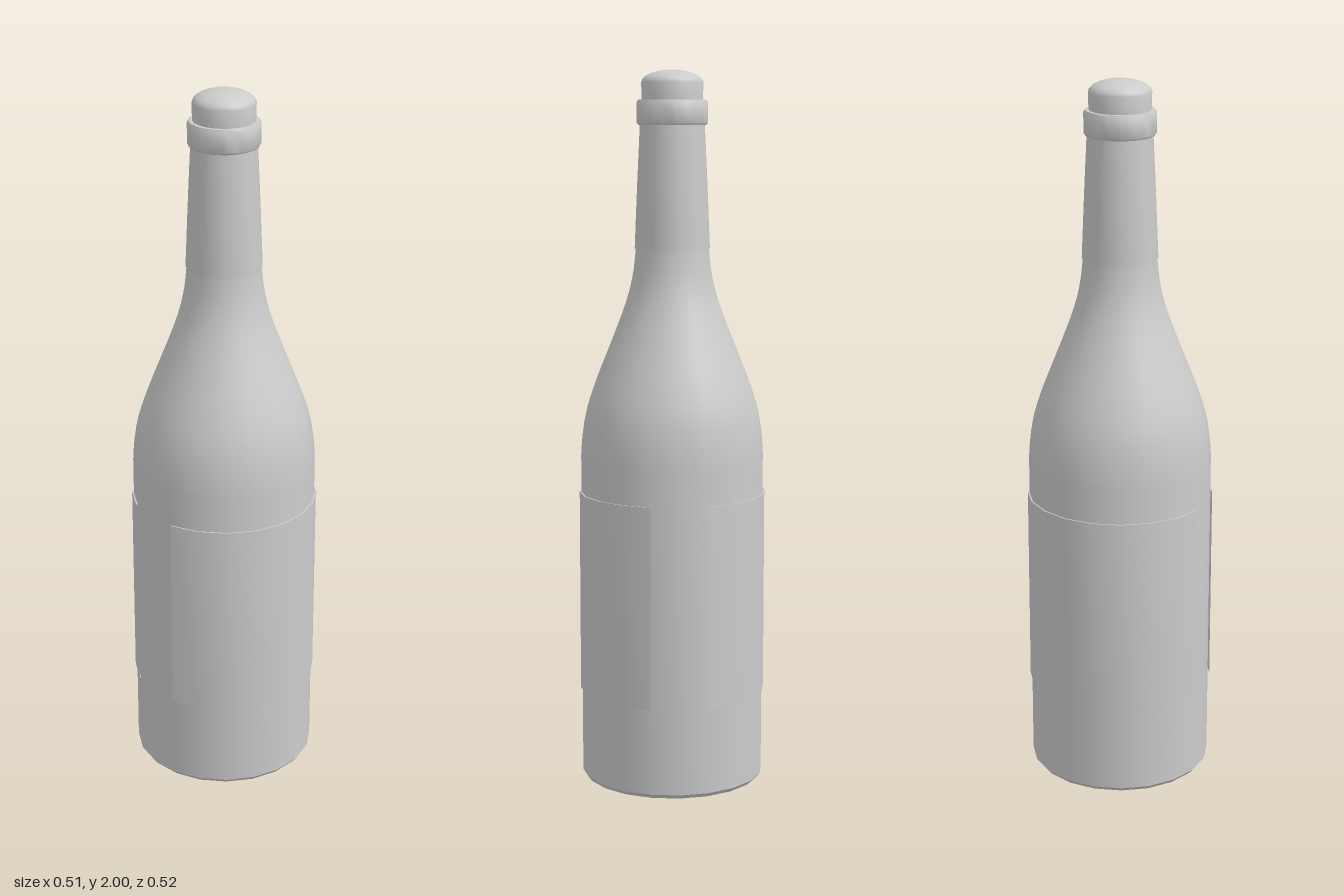
import * as THREE from 'three';
import { toCreasedNormals } from 'three/addons/utils/BufferGeometryUtils.js';

const SIDES = 20;
const STEP = (Math.PI * 2) / SIDES;
const TURN = THREE.MathUtils.degToRad(11.5); // angle of the first facet corner

export function createModel() {
  const group = new THREE.Group();
  const material = new THREE.MeshStandardMaterial({ color: 0xcccccc, side: THREE.DoubleSide });

  // Turned part: profile of [radius, height], over a whole number of facets
  const turn = (name, profile, start = 0, count = SIDES) => {
    const points = profile.map(([r, y]) => new THREE.Vector2(r, y));
    const lathe = new THREE.LatheGeometry(points, count, TURN + start * STEP, count * STEP);
    const mesh = new THREE.Mesh(toCreasedNormals(lathe, 0.65), material);
    mesh.name = name;
    group.add(mesh);
  };

  // Glass body, with a hollow punt under the base
  const punt = [];
  for (let i = 0; i <= 6; i++) {
    const a = (i / 6) * Math.PI / 2;
    punt.push([0.2 * Math.sin(a), 0.015 + 0.085 * Math.cos(a)]);
  }
  const shoulder = new THREE.SplineCurve([
    [0.2575, 0.93], [0.253, 0.99], [0.241, 1.06], [0.219, 1.13], [0.192, 1.2],
    [0.158, 1.285], [0.127, 1.37], [0.11, 1.44], [0.102, 1.51],
  ].map(([r, y]) => new THREE.Vector2(r, y))).getPoints(20).map((p) => [p.x, p.y]);
  turn('bottleBody', [
    ...punt, [0.212, 0], [0.248, 0], [0.2575, 0.012], [0.2575, 0.5],
    ...shoulder, [0.087, 1.86],
  ]);

  // Foil sleeve around the neck
  turn('neckFoil', [[0.1, 1.51], [0.105, 1.51], [0.098, 1.68], [0.09, 1.85], [0.085, 1.85]]);

  // Lip ring
  turn('lipRing', [
    [0.08, 1.85], [0.095, 1.85], [0.0985, 1.855], [0.0985, 1.912], [0.095, 1.918], [0.07, 1.918],
  ]);

  // Domed stopper
  const dome = [];
  for (let i = 0; i <= 6; i++) {
    const a = (i / 6) * Math.PI / 2;
    dome.push([0.086 * Math.cos(a), 1.965 + 0.035 * Math.sin(a)]);
  }
  turn('stopper', [[0.084, 1.9], ...dome]);

  // Front and back labels: thin bands, eight facets each
  const band = [[0.2585, 0.255], [0.2625, 0.255], [0.2625, 0.825], [0.2585, 0.825]];
  turn('frontLabel', band, -5, 8);
  turn('backLabel', band, 5, 8);

  return group;
}
